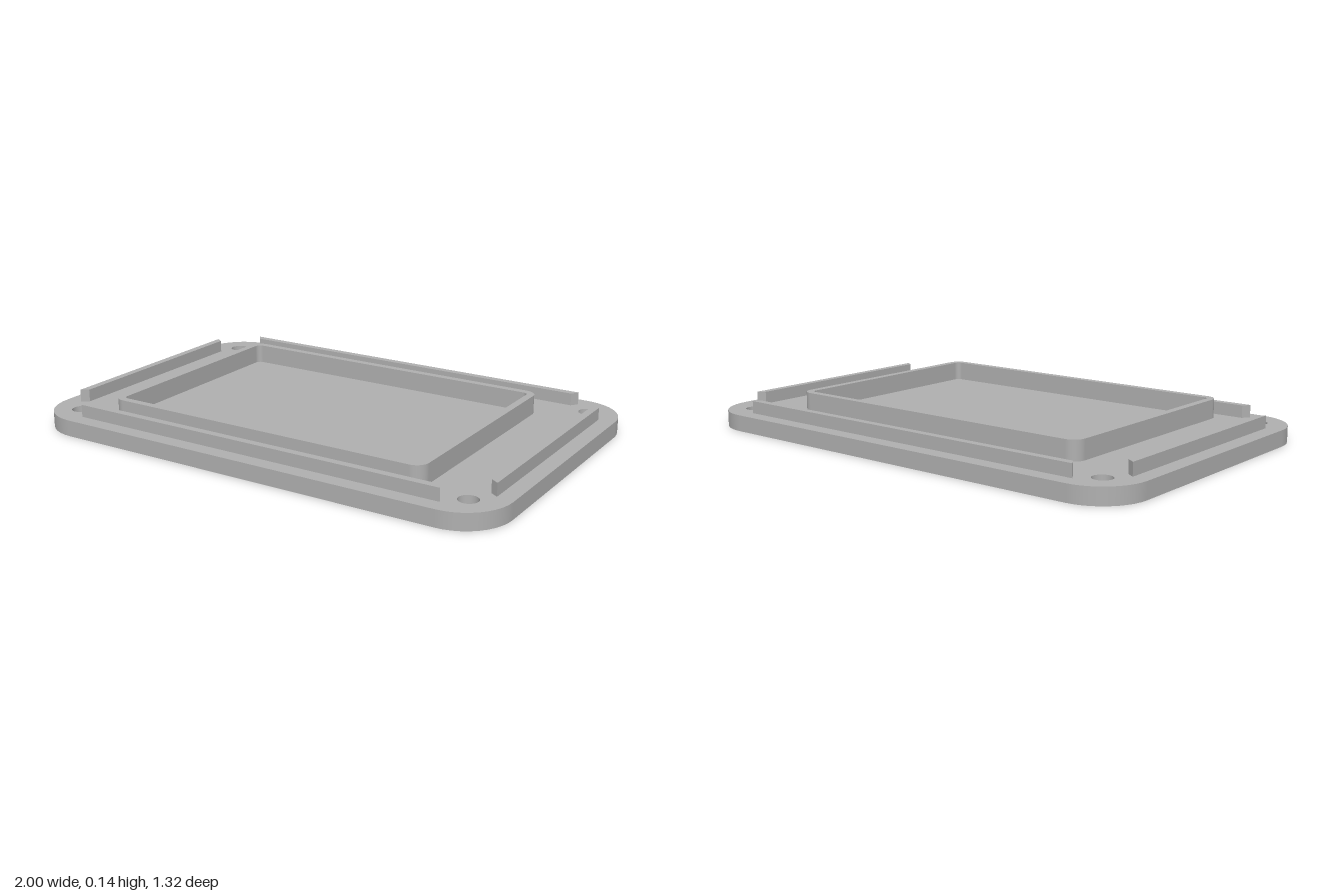
import * as THREE from 'three';
import { mergeGeometries } from 'three/addons/utils/BufferGeometryUtils.js';

// Rounded rectangle in the x-z plane with its outward normals; hx = hz = r gives a circle.
function outline(hx, hz, r, cx = 0, cz = 0, steps = 10) {
  const pts = [];
  [[1, 1], [-1, 1], [-1, -1], [1, -1]].forEach(([sx, sz], q) => {
    const count = hx === r && hz === r ? steps - 1 : steps; // circles share quadrant ends
    for (let i = 0; i <= count; i++) {
      const a = (q + i / steps) * Math.PI / 2;
      const nx = Math.cos(a), nz = Math.sin(a);
      pts.push({ x: cx + sx * (hx - r) + r * nx, z: cz + sz * (hz - r) + r * nz, nx, nz });
    }
  });
  return pts;
}

// Flat face at height y, facing up or down, with holes
function cap(edge, holes, y, up) {
  const s = up ? -1 : 1;
  const flat = (pts) => pts.map((p) => new THREE.Vector2(p.x, s * p.z));
  const shape = new THREE.Shape(flat(edge));
  holes.forEach((h) => shape.holes.push(new THREE.Path(flat(h))));
  const g = new THREE.ShapeGeometry(shape).rotateX(s * Math.PI / 2).translate(0, y, 0);
  g.deleteAttribute('uv');
  return g;
}

// Upright band along an outline, facing outward or inward
function wall(edge, y0, y1, inward = false) {
  const pos = [], nor = [], idx = [], n = edge.length, s = inward ? -1 : 1;
  edge.forEach((p, i) => {
    pos.push(p.x, y0, p.z, p.x, y1, p.z);
    nor.push(s * p.nx, 0, s * p.nz, s * p.nx, 0, s * p.nz);
    const a = 2 * i, b = 2 * ((i + 1) % n);
    if (inward) idx.push(a, b + 1, a + 1, a, b, b + 1);
    else idx.push(a, a + 1, b + 1, a, b + 1, b);
  });
  const g = new THREE.BufferGeometry();
  g.setAttribute('position', new THREE.Float32BufferAttribute(pos, 3));
  g.setAttribute('normal', new THREE.Float32BufferAttribute(nor, 3));
  g.setIndex(idx);
  return g;
}

export function createModel() {
  const model = new THREE.Group();
  model.name = 'enclosureLid';
  const grey = new THREE.MeshStandardMaterial({ color: 0xb0b0b0 });
  grey.name = 'grey';
  const add = (name, geometry) => {
    const mesh = new THREE.Mesh(geometry, grey);
    mesh.name = name;
    model.add(mesh);
    return mesh;
  };

  // Base plate with counterbored screw holes and a shallow recess underneath
  const top = 0.065, ledge = 0.035, recessDepth = 0.018;
  const rim = outline(1, 0.662, 0.19);
  const recess = outline(0.385, 0.385, 0.08);
  const corners = [[1, 1], [-1, 1], [-1, -1], [1, -1]];
  const circles = (r) => corners.map(([sx, sz]) => outline(r, r, r, sx * 0.865, sz * 0.53));
  const bores = circles(0.038), counterbores = circles(0.065);
  add('basePlate', mergeGeometries([
    wall(rim, 0, top),
    cap(rim, bores, top, true),
    cap(rim, [...counterbores, recess], 0, false),
    wall(recess, 0, recessDepth, true),
    cap(recess, [], recessDepth, false),
    ...bores.map((b) => wall(b, ledge, top, true)),
    ...counterbores.map((c) => wall(c, 0, ledge, true)),
    ...counterbores.map((c, i) => cap(c, [bores[i]], ledge, false)),
  ]));

  // Raised frame, set slightly toward the front
  const outer = outline(0.69, 0.482, 0.05, 0, 0.05);
  const inner = outline(0.66, 0.452, 0.022, 0, 0.05);
  add('raisedFrame', mergeGeometries([
    wall(outer, top, 0.142),
    wall(inner, top, 0.142, true),
    cap(outer, [inner], 0.142, true),
  ]));

  // Locating ribs with mitred ends along the four sides
  const ribs = [
    ['frontRib', 0.795, 0.6, 0], ['leftRib', 0.46, 0.935, 1],
    ['backRib', 0.795, 0.6, 2], ['rightRib', 0.46, 0.935, 3],
  ];
  for (const [name, half, reach, turn] of ribs) {
    const shape = new THREE.Shape([
      new THREE.Vector2(-half, -reach), new THREE.Vector2(half, -reach),
      new THREE.Vector2(half - 0.02, 0.03 - reach), new THREE.Vector2(0.02 - half, 0.03 - reach),
    ]);
    const g = new THREE.ExtrudeGeometry(shape, { depth: 0.05, bevelEnabled: false });
    add(name, g.rotateX(-Math.PI / 2).rotateY(turn * Math.PI / 2).translate(0, top, 0));
  }
  return model;
}
